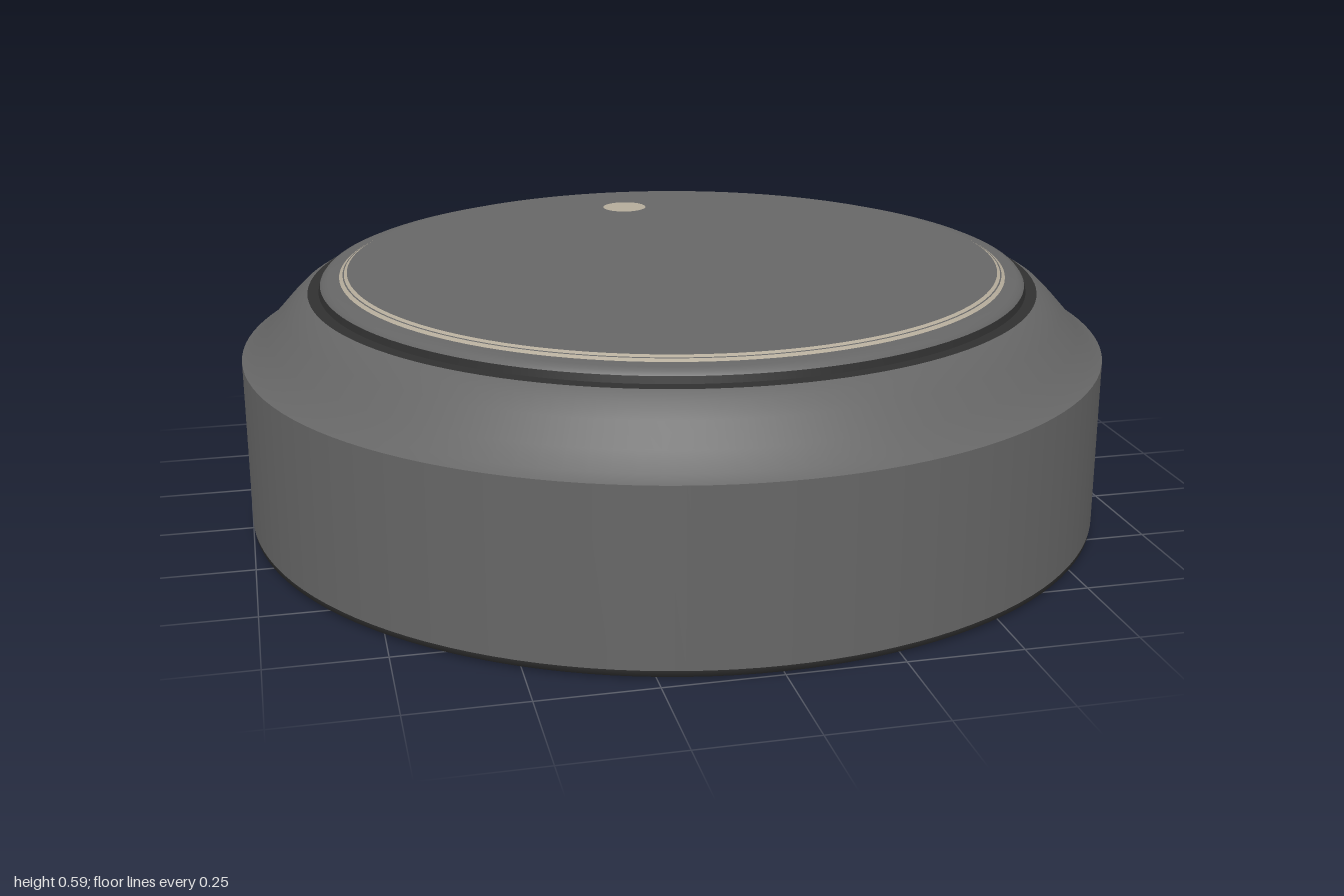
import * as THREE from 'three';

const SEGMENTS = 128;

function material(name, color) {
  const m = new THREE.MeshStandardMaterial({ color, side: THREE.DoubleSide });
  m.name = name;
  return m;
}

export function createModel() {
  const group = new THREE.Group();
  group.name = 'lid';
  const grey = material('body grey', 0x666666);
  const dark = material('dark trim', 0x303030);
  const beige = material('beige accent', 0xb4ab9a);

  const add = (name, geometry, mat) => {
    const mesh = new THREE.Mesh(geometry, mat);
    mesh.name = name;
    group.add(mesh);
    return mesh;
  };
  // One turned band of the open shell; points run [radius, height] upwards
  const band = (name, mat, points) =>
    add(name, new THREE.LatheGeometry(points.map(([r, y]) => new THREE.Vector2(r, y)), SEGMENTS), mat);
  // Flat upward disc
  const disc = (name, mat, radius, y, z = 0) => {
    const geometry = new THREE.CircleGeometry(radius, SEGMENTS).rotateX(-Math.PI / 2);
    add(name, geometry, mat).position.set(0, y, z);
  };

  // Shell wall and shoulder
  band('bottomRim', dark, [[0.985, 0], [0.998, 0.008], [1, 0.02]]);
  band('sideWall', grey, [[1, 0.02], [1, 0.405]]);
  band('shoulder', grey, [[1, 0.405], [0.975, 0.42], [0.94, 0.455], [0.9, 0.5], [0.87, 0.53], [0.845, 0.545]]);

  // Stepped seam around the top plate
  band('seamLedge', dark, [[0.845, 0.545], [0.82, 0.547]]);
  band('seamWall', dark, [[0.82, 0.547], [0.816, 0.562]]);
  band('topRim', grey, [[0.816, 0.562], [0.81, 0.57], [0.798, 0.575], [0.772, 0.577]]);

  // Double accent ring
  band('outerAccentRing', beige, [[0.772, 0.577], [0.764, 0.582]]);
  band('accentGap', grey, [[0.764, 0.582], [0.761, 0.583]]);
  band('innerAccentRing', beige, [[0.761, 0.583], [0.754, 0.587]]);

  // Top plate and its marker dot
  disc('topPlate', grey, 0.754, 0.587);
  disc('markerDot', beige, 0.055, 0.59, -0.56);

  return group;
}
